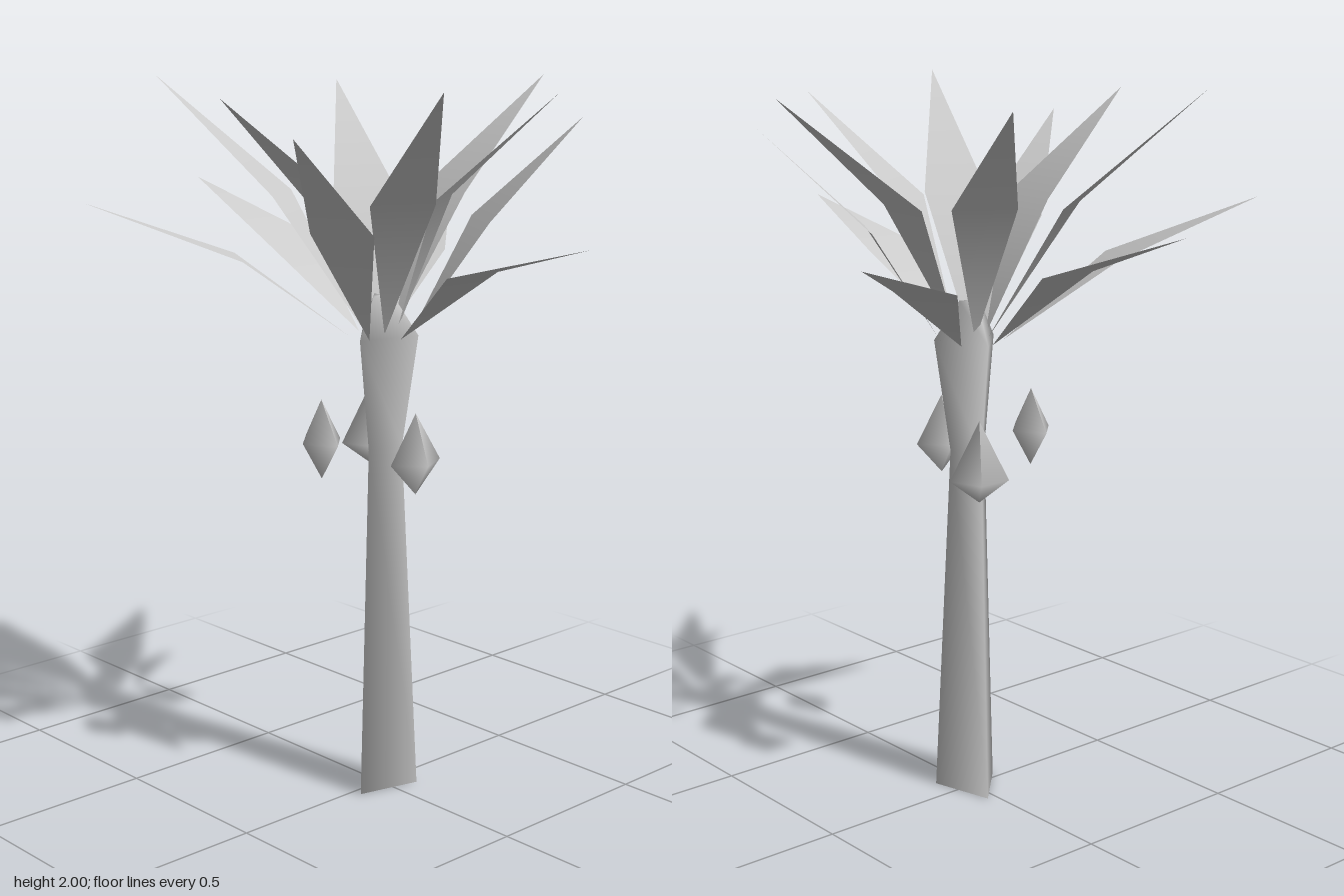
import * as THREE from 'three';

const grey = new THREE.MeshStandardMaterial({ color: 0xcccccc, side: THREE.DoubleSide });

// Faceted solid of revolution from [radius, height] pairs
function turned(name, profile, sides, phase = 0) {
  const points = profile.map(([r, y]) => new THREE.Vector2(r, y));
  const mesh = new THREE.Mesh(new THREE.LatheGeometry(points, sides, phase), grey);
  mesh.name = name;
  return mesh;
}

// Kite-shaped frond: root point, two shoulder points, tip
function frond({ tip: [x, y, z], midR, midY, rootR, rootY, half = 0.088 }) {
  const length = Math.hypot(x, z);
  const dx = x / length, dz = z / length;
  const positions = [
    dx * rootR, rootY, dz * rootR,
    dx * midR - dz * half, midY, dz * midR + dx * half,
    dx * midR + dz * half, midY, dz * midR - dx * half,
    x, y, z,
  ];
  const geometry = new THREE.BufferGeometry();
  geometry.setAttribute('position', new THREE.Float32BufferAttribute(positions, 3));
  geometry.setIndex([0, 1, 2, 1, 3, 2]);
  geometry.computeVertexNormals();
  const mesh = new THREE.Mesh(geometry, grey);
  mesh.name = 'frond';
  return mesh;
}

export function createModel() {
  const model = new THREE.Group();
  model.name = 'palmTree';

  // Three-sided trunk with a narrow waist and flared crown
  model.add(turned('trunk',
    [[0, 0], [0.105, 0], [0.06, 1.0], [0.104, 1.31], [0.035, 1.42], [0, 1.42]],
    3, Math.PI / 4));

  // Low drooping fronds rooted on the crown rim
  const low = { rootR: 0.085, rootY: 1.31 };
  // Raised fronds rooted nearer the middle
  const high = { rootR: 0.045, rootY: 1.32, midY: 1.69 };
  const fronds = [
    { ...low, tip: [0, 1.68, -0.79], midR: 0.38, midY: 1.54 },
    { ...low, tip: [-0.67, 1.69, -0.42], midR: 0.385, midY: 1.535 },
    { ...low, tip: [-0.05, 1.63, 0.78], midR: 0.37, midY: 1.52 },
    { ...low, tip: [0.66, 1.62, -0.385], midR: 0.355, midY: 1.5 },
    { ...low, tip: [-0.54, 1.89, 0.27], midR: 0.285, midY: 1.62 },
    { ...low, tip: [0.49, 1.89, 0.285], midR: 0.28, midY: 1.62 },
    { ...high, tip: [-0.34, 2, -0.53], midR: 0.275 },
    { ...high, tip: [-0.285, 2, 0.52], midR: 0.23 },
    { ...high, tip: [-0.52, 1.97, -0.03], midR: 0.19 },
    { ...high, tip: [0.6, 1.99, 0.04], midR: 0.225 },
    { ...high, tip: [0.235, 1.97, 0.42], midR: 0.175 },
    { ...high, tip: [0.25, 1.97, -0.45], midR: 0.175 },
  ];
  const crown = new THREE.Group();
  crown.name = 'crown';
  fronds.forEach((f) => crown.add(frond(f)));
  model.add(crown);

  // Hanging diamond-shaped fruit: x, z, bottom, widest and top heights
  const fruits = [
    [-0.19, -0.03, 0.935, 1.04, 1.155],
    [-0.03, 0.17, 0.9, 0.99, 1.125],
    [0.105, -0.155, 0.905, 0.965, 1.13],
  ];
  for (const [x, z, bottom, middle, top] of fruits) {
    const fruit = turned('fruit', [[0, bottom], [1, middle], [0, top]], 4);
    fruit.scale.set(0.08, 1, 0.06);
    fruit.position.set(x, 0, z);
    fruit.rotation.y = Math.atan2(x, z);
    model.add(fruit);
  }

  return model;
}
